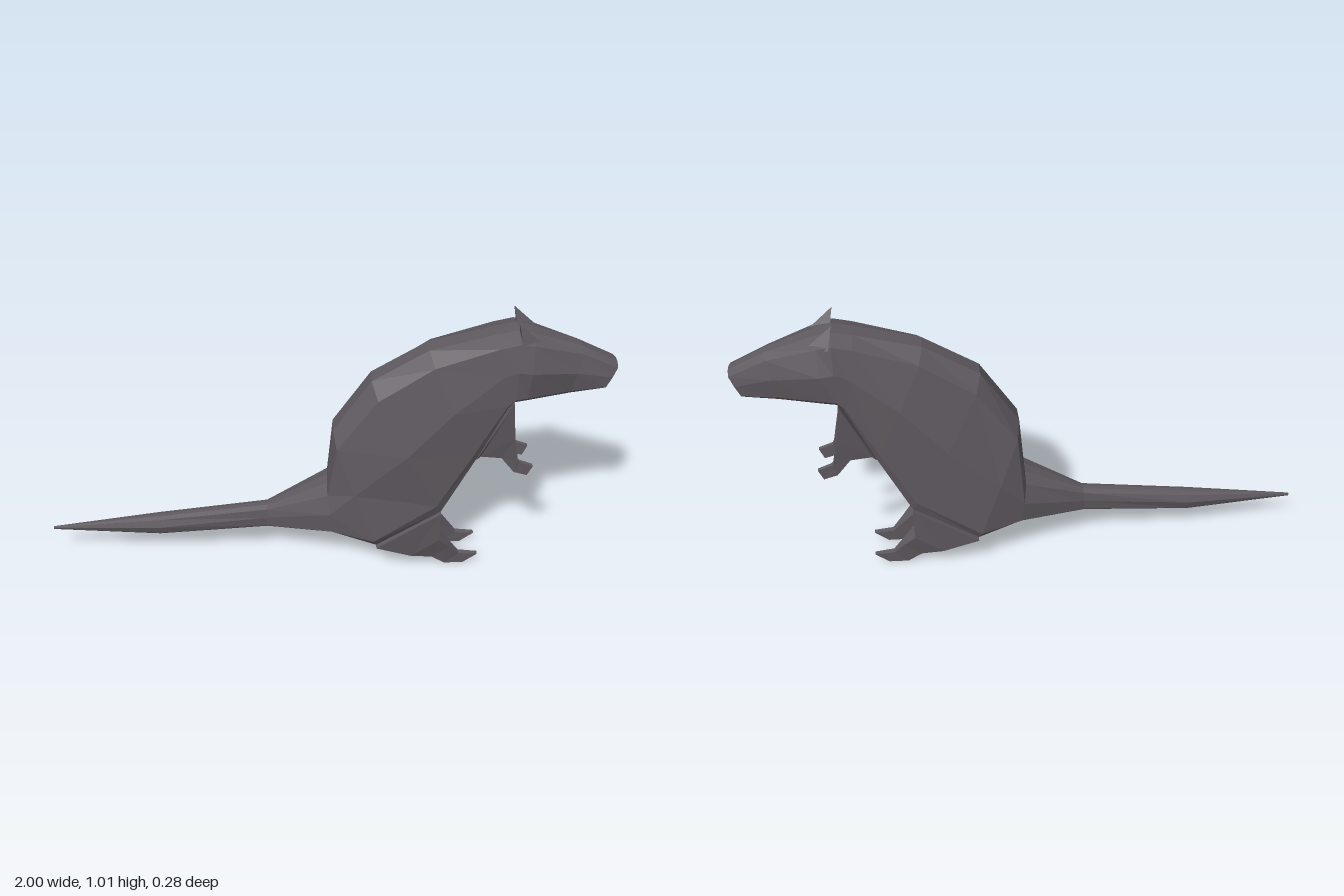
import * as THREE from 'three';

const fur = new THREE.MeshStandardMaterial({ color: 0x5f5a60, flatShading: true });

// Skin a list of closed rings (arrays of [x, y, z]) and cap both ends
function loft(name, rings) {
  const n = rings[0].length, last = (rings.length - 1) * n;
  const pts = rings.flat();
  const tris = [];
  for (let r = 0; r < rings.length - 1; r++) {
    for (let i = 0; i < n; i++) {
      const a = r * n + i, b = r * n + (i + 1) % n;
      tris.push([a, b, b + n], [a, b + n, a + n]);
    }
  }
  for (let i = 1; i < n - 1; i++) {
    tris.push([0, i + 1, i], [last, last + i, last + i + 1]);
  }
  // Turn faces outward by the sign of the enclosed volume
  const v = pts.map((p) => new THREE.Vector3(...p));
  let volume = 0;
  for (const [a, b, c] of tris) volume += v[a].dot(v[b].clone().cross(v[c]));
  if (volume < 0) tris.forEach((t) => t.reverse());

  const geo = new THREE.BufferGeometry();
  geo.setAttribute('position', new THREE.Float32BufferAttribute(pts.flat(), 3));
  geo.setIndex(tris.flat());
  const flat = geo.toNonIndexed();
  flat.computeVertexNormals();
  const mesh = new THREE.Mesh(flat, fur);
  mesh.name = name;
  return mesh;
}

// Symmetric trunk section: top point, bottom point, half widths (shoulder, flank, belly)
function section([tx, ty, bx, by, wTop, wMid, wLow]) {
  const half = [[0, wTop * 0.32], [0.08, wTop], [0.48, wMid], [0.93, wLow], [1, wLow * 0.85]];
  const at = (t, z) => [tx + (bx - tx) * t, ty + (by - ty) * t, z];
  return [
    ...half.map(([t, w]) => at(t, w)),
    ...half.slice().reverse().map(([t, w]) => at(t, -w)),
  ];
}

// Four-cornered limb section: front point, back point, inner z, outer z at front and back
function limbSection([fx, fy, bx, by, zIn, zFront, zBack], side) {
  return [
    [fx, fy, zIn * side], [fx, fy, zFront * side],
    [bx, by, zBack * side], [bx, by, zIn * side],
  ];
}

export function createModel() {
  const model = new THREE.Group();
  model.name = 'rodent';

  const tailRoot = [0.02, 0.345, 0.04, 0.165, 0.085, 0.105, 0.1];
  const neck = [0.65, 0.975, 0.65, 0.735, 0.095, 0.112, 0.11];

  model.add(loft('tail', [
    [-1, 0.122, -1, 0.112, 0.003, 0.004, 0.003],
    [-0.6, 0.177, -0.6, 0.105, 0.025, 0.034, 0.024],
    [-0.2, 0.232, -0.2, 0.145, 0.03, 0.034, 0.03],
    tailRoot,
  ].map(section)));

  model.add(loft('body', [
    tailRoot,
    [0.04, 0.58, 0.2, 0.13, 0.105, 0.13, 0.138],
    [0.17, 0.78, 0.43, 0.27, 0.1, 0.14, 0.115],
    [0.36, 0.9, 0.54, 0.5, 0.1, 0.13, 0.11],
    [0.58, 0.96, 0.63, 0.71, 0.095, 0.11, 0.11],
    neck,
  ].map(section)));

  model.add(loft('head', [
    neck,
    [0.7, 0.965, 0.69, 0.737, 0.088, 0.115, 0.1],
    [0.87, 0.91, 0.84, 0.745, 0.052, 0.068, 0.058],
    [0.995, 0.848, 0.958, 0.76, 0.045, 0.052, 0.05],
  ].map(section)));

  for (const [label, side] of [['left', -1], ['right', 1]]) {
    // Hind leg from haunch to toes
    model.add(loft(label + 'HindLeg', [
      [0.43, 0.27, 0.2, 0.13, 0.028, 0.115, 0.138],
      [0.43, 0.14, 0.33, 0.07, 0.03, 0.105, 0.11],
      [0.47, 0.095, 0.41, 0.045, 0.042, 0.086, 0.085],
      [0.51, 0.05, 0.46, 0.004, 0.05, 0.072, 0.072],
      [0.58, 0.045, 0.53, 0.004, 0.053, 0.07, 0.068],
    ].map((r) => limbSection(r, side))));

    // Foreleg from shoulder to paw
    model.add(loft(label + 'Foreleg', [
      [0.648, 0.737, 0.54, 0.5, 0.028, 0.11, 0.1],
      [0.668, 0.58, 0.555, 0.503, 0.042, 0.088, 0.085],
      [0.69, 0.475, 0.63, 0.49, 0.05, 0.074, 0.076],
      [0.695, 0.468, 0.68, 0.425, 0.053, 0.07, 0.07],
      [0.745, 0.45, 0.728, 0.41, 0.055, 0.07, 0.068],
    ].map((r) => limbSection(r, side))));

    // Pointed ear
    const tip = [0.643, 1.017, 0.063 * side];
    model.add(loft(label + 'Ear', [
      [[0.655, 0.96, 0.026 * side], [0.66, 0.945, 0.1 * side], [0.73, 0.94, 0.06 * side]],
      [tip, tip, tip],
    ]));
  }
  return model;
}
